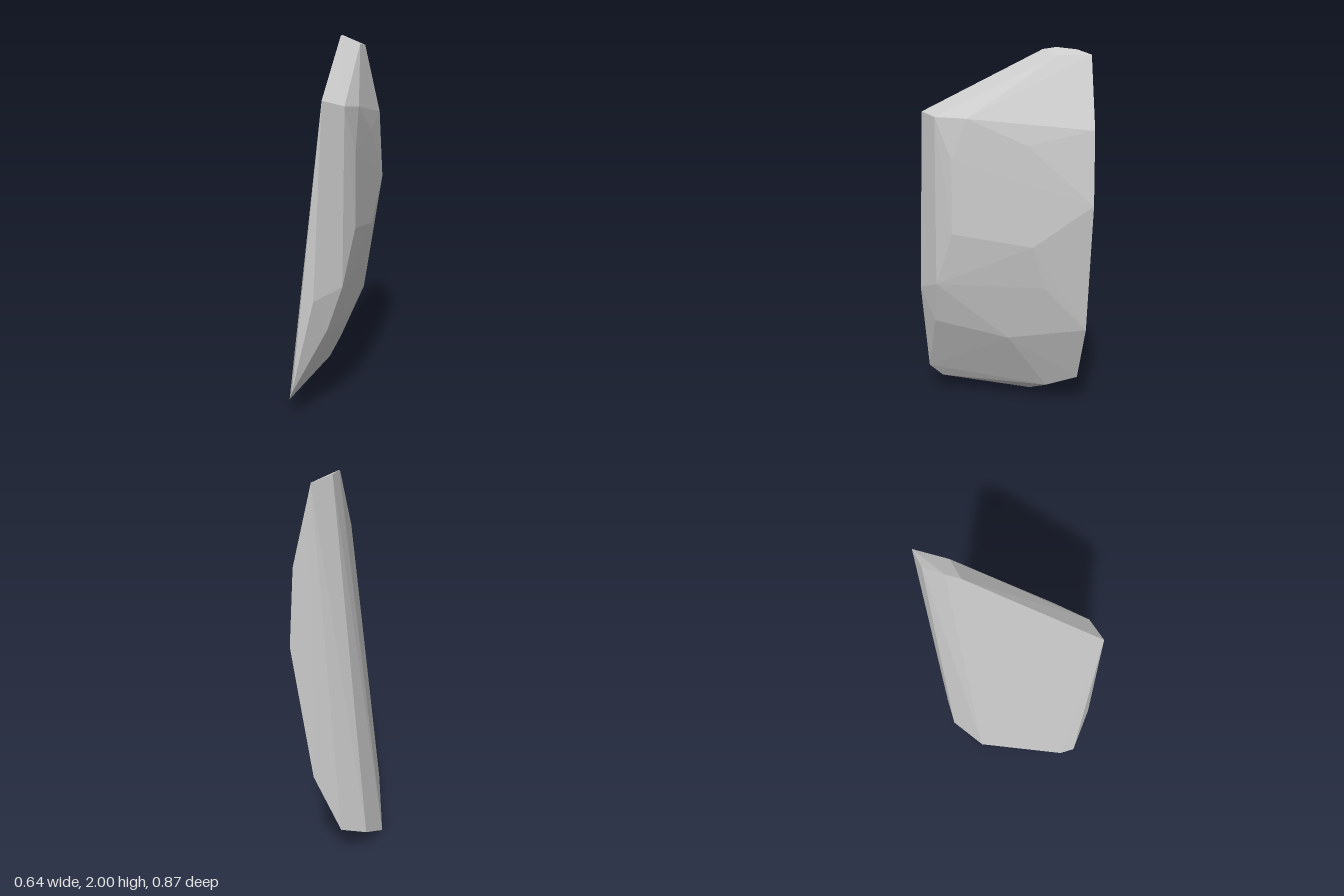
import * as THREE from 'three';
import { ConvexGeometry } from 'three/addons/geometries/ConvexGeometry.js';

export function createModel() {
  const group = new THREE.Group();
  group.name = 'rock';

  // slanted top facet
  const top = [
    [-0.16, 1.66, 0.415], [-0.04, 1.63, 0.36], [0.15, 1.95, -0.27], [0.21, 1.95, -0.435],
    [0.1, 1.985, -0.39], [0.05, 2.0, -0.29], [0.03, 1.99, -0.22],
  ];
  // pointed foot
  const foot = [
    [-0.215, 0, -0.22], [-0.08, 0.1, -0.395], [-0.03, 0.08, -0.27], [0.065, 0.15, -0.43],
    [-0.325, 0.08, 0.295], [-0.32, 0.15, 0.375],
  ];
  // front ridge, from top to bottom
  const frontRidge = [
    [0.03, 1.4, 0.28], [0.03, 1.0, 0.28], [-0.05, 0.71, 0.36], [-0.13, 0.48, 0.36], [-0.21, 0.66, 0.432],
  ];
  // rear ridge, from top to bottom
  const rearRidge = [[0.3, 1.56, -0.43], [0.32, 1.17, -0.425], [0.21, 0.47, -0.43]];
  // shallow chips on the broad side
  const chips = [
    [0.06, 1.62, 0.2], [0.185, 1.48, -0.1], [0.198, 0.94, -0.13],
    [0.18, 0.71, -0.2], [0.03, 0.4, -0.03], [-0.06, 0.48, 0.2],
  ];

  const points = [...top, ...foot, ...frontRidge, ...rearRidge, ...chips]
    .map((p) => new THREE.Vector3(...p));
  const stone = new THREE.Mesh(
    new ConvexGeometry(points),
    new THREE.MeshStandardMaterial({ color: 0xcccccc, flatShading: true }),
  );
  stone.name = 'facetedStone';
  group.add(stone);
  return group;
}
